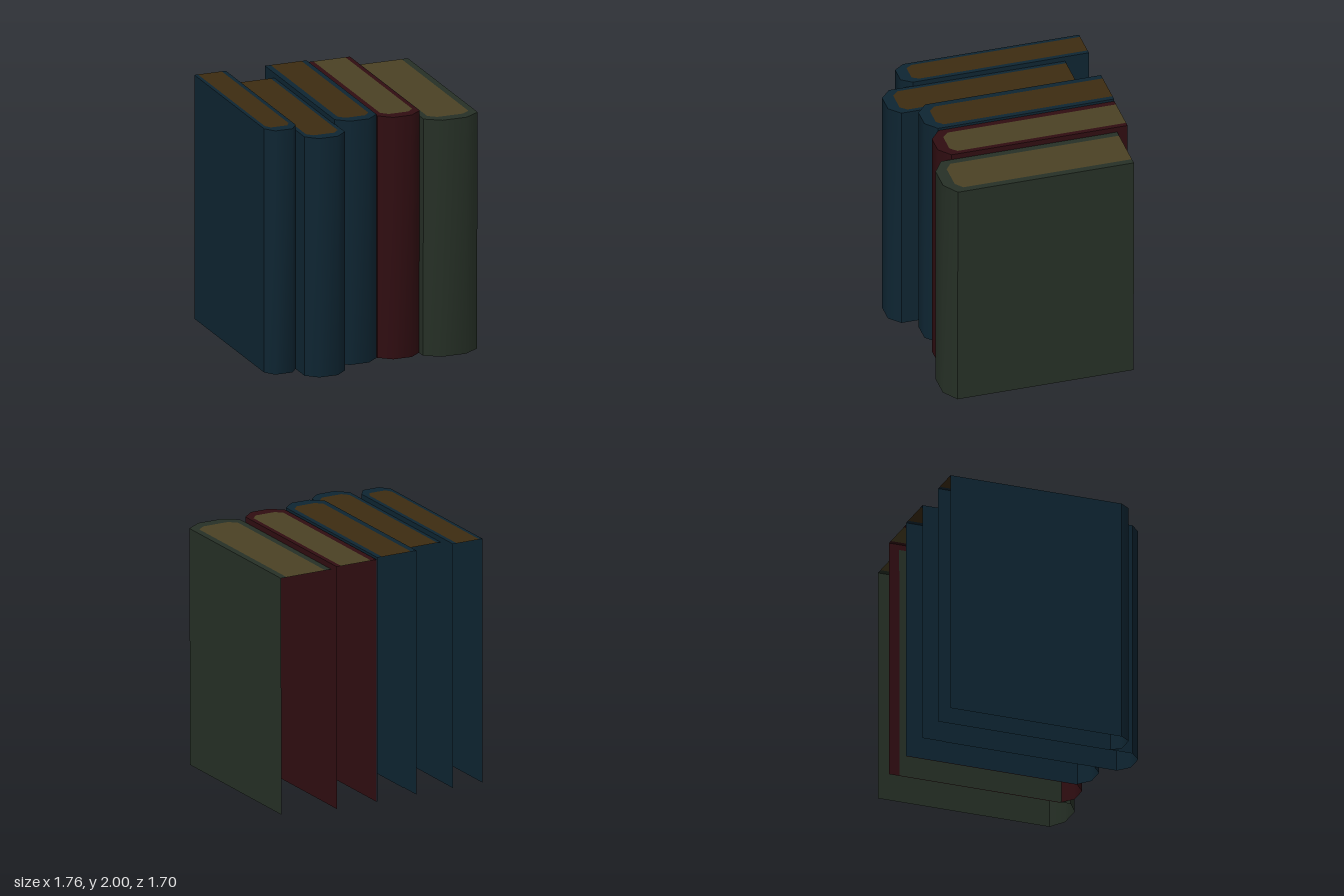
import * as THREE from 'three';

const material = (name, color) => new THREE.MeshStandardMaterial({ name, color, side: THREE.DoubleSide });

// Outline of a book seen from above, open at the back: left, chamfered spine, right
const outline = (x0, x1, z0, z1, cx, cz) => [
  [x0, z0], [x0, z1 - cz], [x0 + cx, z1], [x1 - cx, z1], [x1, z1 - cz], [x1, z0],
];

// Upright strip that follows points on the floor, smooth along its length
function wall(points, y0, y1) {
  const positions = [], index = [];
  points.forEach(([x, z], i) => {
    positions.push(x, y0, z, x, y1, z);
    if (i) {
      const a = 2 * i - 2;
      index.push(a, a + 2, a + 3, a, a + 3, a + 1);
    }
  });
  const geometry = new THREE.BufferGeometry();
  geometry.setAttribute('position', new THREE.Float32BufferAttribute(positions, 3));
  geometry.setIndex(index);
  geometry.computeVertexNormals();
  return geometry;
}

// Flat horizontal polygon facing up
function cap(points, y) {
  const shape = new THREE.Shape(points.map(([x, z]) => new THREE.Vector2(x, -z)));
  return new THREE.ShapeGeometry(shape).rotateX(-Math.PI / 2).translate(0, y, 0);
}

function makeBook({ name, x0, x1, z0, height, cx, p0, p1, lean = 0, cover, pages }) {
  const z1 = z0 + 1.51, bottom = 0.005;
  const outer = outline(x0, x1, z0, z1, cx, 0.082);
  const inner = outline(p0, p1, z0, z1 - 0.092, cx * 0.52, 0.05);
  const book = new THREE.Group();
  book.name = name;
  const add = (part, geometry, mat) => {
    // Slight sideways lean
    const p = geometry.attributes.position;
    for (let i = 0; i < p.count; i++) p.setX(i, p.getX(i) + lean * (p.getY(i) - 1));
    const mesh = new THREE.Mesh(geometry, mat);
    mesh.name = part;
    book.add(mesh);
  };
  add('leftBoard', wall(outer.slice(4), bottom, height), cover);
  add('rightBoard', wall(outer.slice(0, 2), bottom, height), cover);
  add('spine', wall(outer.slice(1, 5), bottom, height), cover);
  add('coverRim', cap([...outer, ...inner.slice().reverse()], height), cover);
  add('pageTop', cap(inner, height), pages);
  return book;
}

export function createModel() {
  const navy = material('navy cover', 0x0e2532);
  const red = material('dark red cover', 0x300d11);
  const green = material('dark green cover', 0x263026);
  const brown = material('brown pages', 0x3d2c11);
  const tan = material('tan pages', 0x4b4124);

  const books = [
    { name: 'narrowNavyBook', x0: -0.88, x1: -0.615, z0: -0.855, height: 2, cx: 0.06, p0: -0.85, p1: -0.65, cover: navy, pages: brown },
    { name: 'forwardNavyBook', x0: -0.62, x1: -0.282, z0: -0.662, height: 1.96, cx: 0.09, p0: -0.585, p1: -0.318, cover: navy, pages: brown },
    { name: 'wideNavyBook', x0: -0.288, x1: 0.062, z0: -0.855, height: 2, cx: 0.095, p0: -0.24, p1: 0.02, cover: navy, pages: brown },
    { name: 'redBook', x0: 0.07, x1: 0.426, z0: -0.855, height: 1.985, cx: 0.1, p0: 0.118, p1: 0.387, cover: red, pages: tan },
    { name: 'greenBook', x0: 0.421, x1: 0.874, z0: -0.77, height: 1.94, cx: 0.125, p0: 0.475, p1: 0.82, lean: 0.004, cover: green, pages: tan },
  ];

  const model = new THREE.Group();
  model.name = 'rowOfBooks';
  books.forEach((spec) => model.add(makeBook(spec)));
  return model;
}
